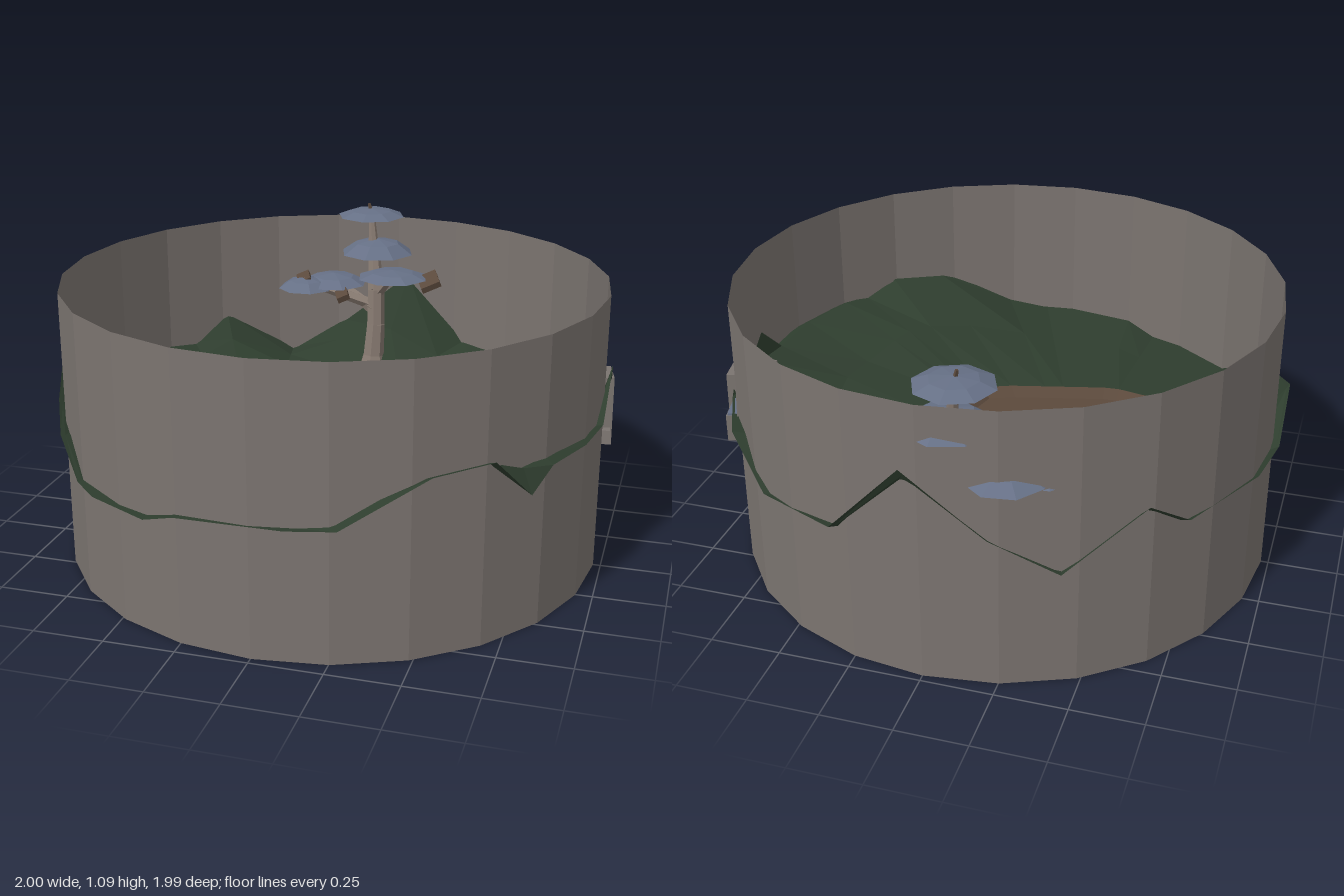
import * as THREE from 'three';

const mat = (name, color, side = THREE.FrontSide) => {
  const m = new THREE.MeshStandardMaterial({ color, side, flatShading: true });
  m.name = name;
  return m;
};

const C = [-0.3, -0.12]; // basin centre (x, z)

// Hill outline: x, z, height, optional heights halfway to the basin and just inside the outline
const RIM = [
  [0.05, -0.995, 0.79, 0.55], [0.31, -0.955, 0.51], [0.63, -0.76, 0.46], [0.82, -0.59, 0.58],
  [0.93, -0.36, 0.58], [0.98, -0.2, 0.65, 0.49, 0.58], [0.99, -0.08, 0.74, 0.48, 0.59],
  [0.985, 0.1, 0.58, 0.5], [0.95, 0.3, 0.58, 0.5, 0.59], [0.87, 0.5, 0.58, 0.53, 0.6],
  [0.82, 0.6, 0.51, 0.54, 0.59], [0.72, 0.7, 0.65, 0.53], [0.55, 0.84, 0.635, 0.51],
  [0.28, 0.95, 0.47, 0.47, 0.5], [0.12, 0.99, 0.47], [-0.25, 0.97, 0.46],
  [-0.37, 0.93, 0.42], [-0.6, 0.81, 0.42], [-0.7, 0.71, 0.42], [-0.82, 0.58, 0.53],
  [-0.91, 0.4, 0.59], [-1, 0.18, 0.65], [-1, -0.03, 0.51], [-0.96, -0.25, 0.51],
  [-0.79, -0.6, 0.52], [-0.68, -0.72, 0.62], [-0.44, -0.89, 0.43], [-0.22, -0.96, 0.56],
];

// Basin edge (x, z)
const LIP = [
  [0.12, -0.32], [0.25, -0.02], [0.17, 0.28], [-0.31, 0.4], [-0.55, 0.35], [-0.72, 0.24],
  [-0.83, 0.01], [-0.74, -0.38], [-0.45, -0.65], [-0.2, -0.72], [0, -0.7], [0.17, -0.6],
];

// Where the ray from the basin centre towards (x, z) crosses the basin edge
function lipPoint(x, z) {
  const dx = x - C[0], dz = z - C[1];
  for (let i = 0; i < LIP.length; i++) {
    const a = LIP[i], b = LIP[(i + 1) % LIP.length];
    const ex = b[0] - a[0], ez = b[1] - a[1], ax = a[0] - C[0], az = a[1] - C[1];
    const det = dx * ez - dz * ex;
    const t = (ax * ez - az * ex) / det, s = (ax * dz - az * dx) / det;
    if (t > 0 && s >= -1e-6 && s <= 1 + 1e-6) return [C[0] + dx * t, 0.42, C[1] + dz * t];
  }
  return [C[0], 0.42, C[1]];
}

// Surface between closed rings of points, inner ring first
function skin(rings) {
  const p = [];
  for (let r = 0; r < rings.length - 1; r++) {
    const A = rings[r], B = rings[r + 1], n = A.length;
    for (let i = 0; i < n; i++) {
      const j = (i + 1) % n;
      p.push(...A[i], ...A[j], ...B[i], ...A[j], ...B[j], ...B[i]);
    }
  }
  const g = new THREE.BufferGeometry();
  g.setAttribute('position', new THREE.Float32BufferAttribute(p, 3));
  g.computeVertexNormals();
  return g;
}

export function createModel() {
  const group = new THREE.Group();
  const stone = mat('wall stone', 0x7b7470, THREE.DoubleSide);
  const grass = mat('grass green', 0x2e3d2e, THREE.DoubleSide);
  const soil = mat('soil brown', 0x5b493c, THREE.DoubleSide);
  const leaf = mat('canopy blue', 0x667086, THREE.DoubleSide);
  const bark = mat('bark', 0x85786f);

  const add = (name, geo, m, parent = group) => {
    const mesh = new THREE.Mesh(geo, m);
    mesh.name = name;
    parent.add(mesh);
    return mesh;
  };

  // Open ring wall
  add('wall', new THREE.CylinderGeometry(0.974, 0.974, 1.01, 24, 1, true), stone).position.y = 0.505;

  // Hills around the basin
  const rim = RIM.map(([x, z, h]) => [x, h, z]);
  const lip = RIM.map(([x, z]) => lipPoint(x, z));
  const between = (a, b, t) => a.map((v, k) => v + (b[k] - v) * t);
  const mid = RIM.map(([, , h, m], i) => {
    const [x, , z] = between(lip[i], rim[i], 0.55);
    return [x, m ?? 0.42 + (h - 0.42) * 0.5, z];
  });
  const shoulder = RIM.map(([, , , , s], i) => {
    const [x, y, z] = between(mid[i], rim[i], 0.88);
    return [x, s ?? y, z];
  });
  add('hills', skin([lip, mid, shoulder, rim]), grass);

  // Sunken basin with a sloped edge, open under the bush
  const floor = lip.map(([x, , z]) => [C[0] + (x - C[0]) * 0.94, 0.385, C[1] + (z - C[1]) * 0.94]);
  const opening = lip.map(([x, , z]) => {
    const a = Math.atan2(z - C[1], x - C[0]);
    return [-0.35 + 0.11 * Math.cos(a), 0.385, -0.07 + 0.11 * Math.sin(a)];
  });
  add('basin', skin([opening, floor, lip]), soil);

  const bush = add('bush', new THREE.SphereGeometry(0.125, 8, 3, 0, Math.PI * 2, 0, Math.PI / 2), grass);
  bush.scale.y = 0.6;
  bush.position.set(-0.35, 0.383, -0.07);

  // Tree
  const tree = new THREE.Group();
  tree.name = 'tree';
  group.add(tree);
  const limb = (name, a, b, r0, r1, m, sides = 7) => {
    const A = new THREE.Vector3(...a), B = new THREE.Vector3(...b);
    const mesh = add(name, new THREE.CylinderGeometry(r1, r0, A.distanceTo(B), sides), m, tree);
    mesh.position.copy(A).add(B).multiplyScalar(0.5);
    mesh.quaternion.setFromUnitVectors(new THREE.Vector3(0, 1, 0), B.sub(A).normalize());
  };
  const trunk = [
    [-0.05, 0.4, -0.75, 0.068], [-0.05, 0.47, -0.755, 0.044], [-0.045, 0.6, -0.77, 0.038],
    [-0.05, 0.74, -0.79, 0.036], [-0.07, 0.88, -0.83, 0.024], [-0.09, 1.05, -0.86, 0.012],
  ];
  for (let i = 0; i < trunk.length - 1; i++) {
    const a = trunk[i], b = trunk[i + 1];
    limb('trunk', a.slice(0, 3), b.slice(0, 3), a[3], b[3], bark);
  }
  limb('trunkTip', [-0.09, 1.04, -0.86], [-0.1, 1.085, -0.86], 0.01, 0.006, soil, 4);
  limb('branch', [-0.05, 0.66, -0.77], [-0.25, 0.76, -0.85], 0.026, 0.016, bark, 5);
  limb('branch', [-0.05, 0.68, -0.78], [-0.36, 0.76, -0.78], 0.026, 0.016, bark, 5);
  limb('branch', [-0.05, 0.72, -0.79], [0.03, 0.82, -0.75], 0.026, 0.016, bark, 5);

  // Shallow umbrella canopies: x, rim height, z, radius, dome height
  [
    [-0.09, 1.035, -0.86, 0.137, 0.03], [-0.06, 0.885, -0.845, 0.15, 0.06],
    [0.03, 0.81, -0.75, 0.145, 0.03], [-0.25, 0.74, -0.86, 0.14, 0.04],
    [-0.35, 0.73, -0.785, 0.115, 0.045],
  ].forEach(([x, y, z, r, h], i) => {
    const profile = [[0.001, 0.2], [r * 0.9, 0], [r, 0], [r * 0.6, 0.7], [0.001, 1]]
      .map(([px, py]) => new THREE.Vector2(px, py * h));
    const c = add('canopy', new THREE.LatheGeometry(profile, 8), leaf, tree);
    c.position.set(x, y, z);
    c.rotation.y = i * 0.7;
  });

  // Bare brown twig ends
  [[0.18, 0.8, -0.76, 0.08], [-0.36, 0.765, -0.79, 0.055], [-0.18, 0.72, -0.74, 0.05]].forEach(([x, y, z, s]) => {
    const t = add('twigEnd', new THREE.BoxGeometry(s, 0.025, s * 1.2), soil, tree);
    t.position.set(x, y, z);
    t.rotation.set(0.3, 0.4, 0.3);
  });

  // Ruined stones leaning through the wall
  const ruin = new THREE.Group();
  ruin.name = 'ruin';
  group.add(ruin);
  const block = (name, size, pos, turn, taper, m = stone) => {
    const g = new THREE.BoxGeometry(...size), p = g.attributes.position;
    for (let i = 0; i < p.count; i++) {
      if (p.getY(i) > 0) p.setXYZ(i, p.getX(i) * taper, p.getY(i), p.getZ(i) * taper);
    }
    g.computeVertexNormals();
    const b = add(name, g, m, ruin);
    b.position.set(...pos);
    b.rotation.y = turn;
  };
  block('tallStone', [0.16, 0.24, 0.14], [0.9, 0.53, -0.25], 0.2, 0.97);
  block('stoneFoot', [0.16, 0.05, 0.17], [0.905, 0.435, -0.23], 0.15, 0.92);
  block('rearStone', [0.12, 0.24, 0.15], [0.815, 0.59, -0.4], 0.25, 0.88);
  block('rearFoot', [0.14, 0.1, 0.125], [0.845, 0.52, -0.405], 0.25, 1);
  block('blueSlab', [0.13, 0.008, 0.115], [0.845, 0.574, -0.405], 0.25, 1, leaf);
  block('blueSlab', [0.15, 0.008, 0.13], [0.903, 0.406, -0.25], 0.2, 1, leaf);
  block('blueSlab', [0.03, 0.008, 0.06], [0.835, 0.713, -0.37], 0.25, 1, leaf);
  return group;
}
